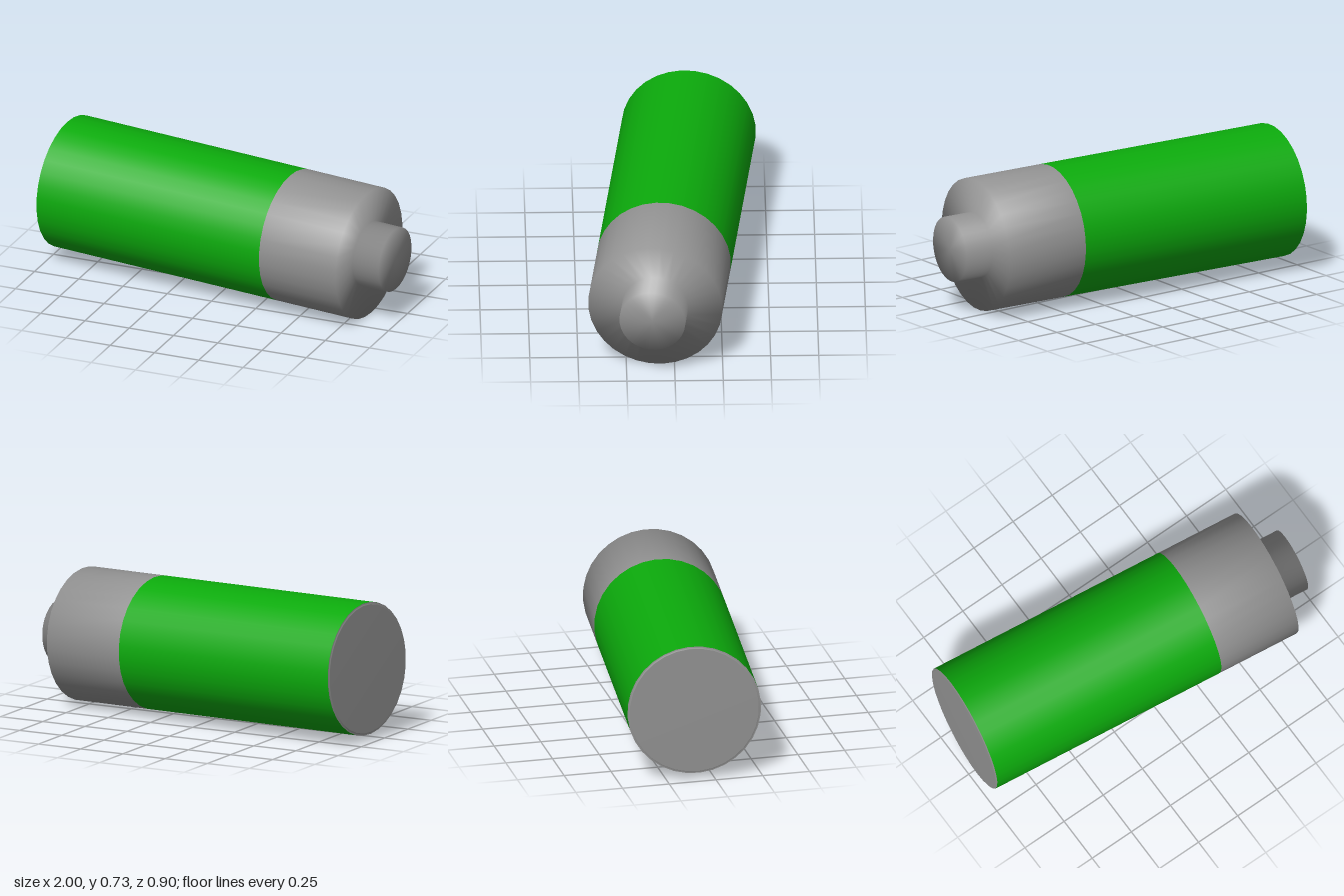
import * as THREE from 'three';

const SIDES = 32;
const grey = new THREE.MeshStandardMaterial({ color: 0x929292 });
const green = new THREE.MeshStandardMaterial({ color: 0x0cab0c });

// Smooth turned part: profile of [radius, distance along the axis], from base to tip
function turned(name, profile, material) {
  const points = profile.map(([r, h]) => new THREE.Vector2(r, h));
  const mesh = new THREE.Mesh(new THREE.LatheGeometry(points, SIDES), material);
  mesh.name = name;
  return mesh;
}

export function createModel() {
  const model = new THREE.Group();
  model.name = 'battery';

  const cell = new THREE.Group();
  cell.name = 'cell';
  const R = 0.35, bossR = 0.172;

  // Flat contact plate, standing a hair proud of the sleeve
  cell.add(turned('basePlate', [[0, 0], [R - 0.012, 0], [R - 0.012, 0.005], [R, 0.005]], grey));

  // Coloured sleeve
  cell.add(turned('sleeve', [[R, 0.005], [R, 1.336]], green));

  // Bare upper can running on into the raised terminal, softly shaded over the rims
  cell.add(turned('upperCanAndTerminal', [
    [R, 1.336], [R, 1.794], [bossR, 1.794], [bossR, 1.95], [0, 1.95],
  ], grey));

  // Lay the cell down along its slightly skewed axis
  const axis = new THREE.Vector3(1.782, -0.033, 0.205).normalize();
  cell.quaternion.setFromUnitVectors(new THREE.Vector3(0, 1, 0), axis);
  cell.position.set(-0.957, 0.383, -0.105);

  model.add(cell);
  return model;
}
